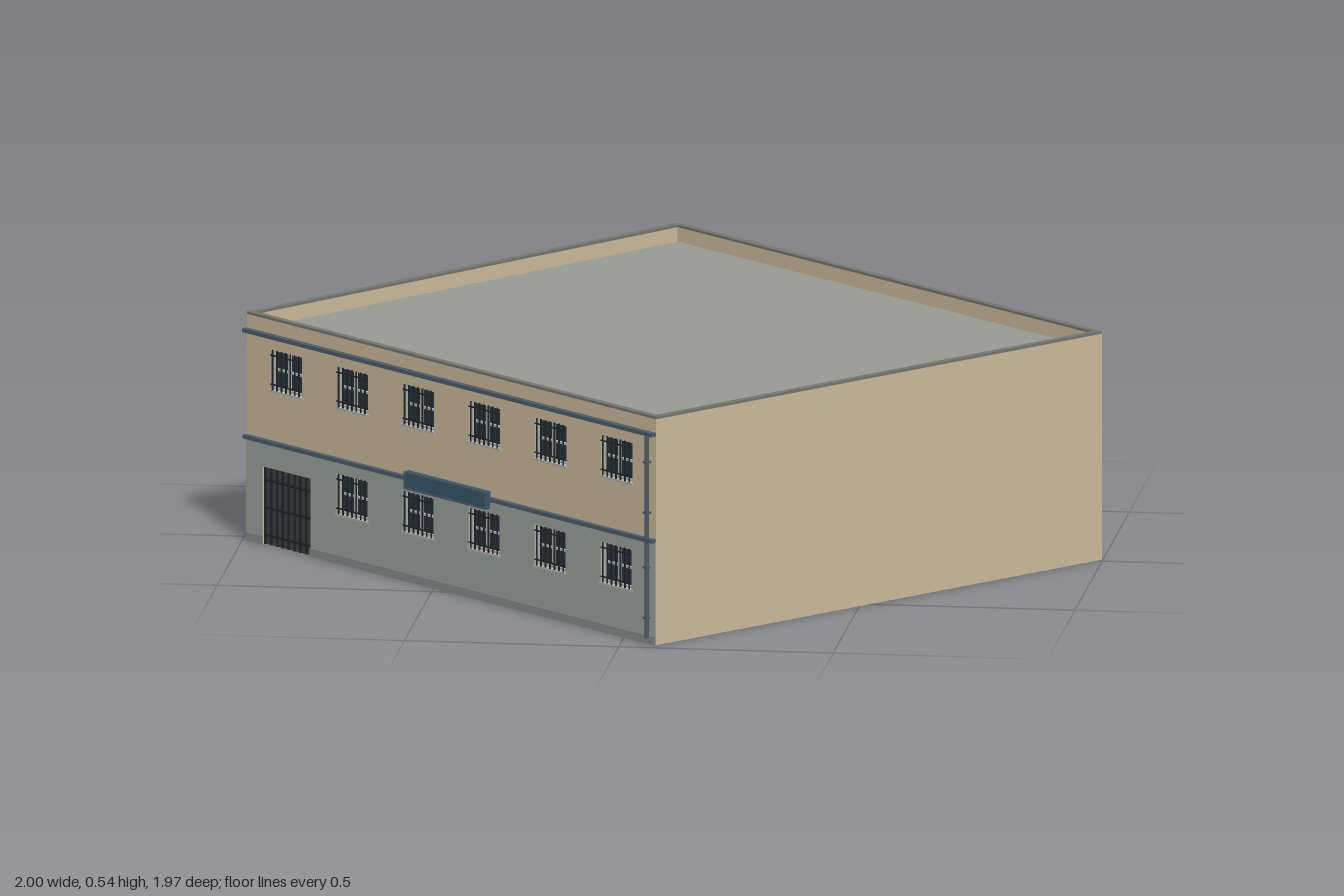
import * as THREE from 'three';

const L = 1.426, H = 0.543, T = 0.016;           // facade length, total height, wall thickness
const mat = (color) => new THREE.MeshStandardMaterial({ color, flatShading: true });
const M = {
  wall: mat(0xcbb99b), lower: mat(0x9aa19b), roof: mat(0x989b93), coping: mat(0x74756f),
  trim: mat(0x4b5b66), glass: mat(0x24343e), frame: mat(0xa9b0ae), bar: mat(0x202326),
  door: mat(0x3b4044), plinth: mat(0x858a88), sign: mat(0x35566a),
};

// Window and door openings on the facade: x0, y0, width, height
const WIN_W = 0.108, WIN_H = 0.096;
const windows = [];
for (let i = 0; i < 6; i++) {
  const x = 0.139 + i * 0.2302 - WIN_W / 2;
  windows.push([x, 0.372, WIN_W, WIN_H]);
  if (i > 0) windows.push([x, 0.118, WIN_W, WIN_H]);
}
const DOOR = [0.057, 0, 0.167, 0.185];

function poly(points, Type = THREE.Shape) {
  return new Type(points.map(([x, y]) => new THREE.Vector2(x, y)));
}

// Facade sheet with its openings cut out; the door is a notch in the lower edge
function facade(height, depth) {
  const [dx, , dw, dh] = DOOR;
  const s = poly([[0, 0], [dx, 0], [dx, dh], [dx + dw, dh], [dx + dw, 0], [L, 0], [L, height], [0, height]]);
  for (const [x, y, w, h] of windows) {
    if (y + h < height) s.holes.push(poly([[x, y], [x, y + h], [x + w, y + h], [x + w, y]], THREE.Path));
  }
  return new THREE.ExtrudeGeometry(s, { depth, bevelEnabled: false });
}

// Plan shape (x, depth behind the facade) raised from y0 to y1
function rise(shape, y0, y1) {
  const g = new THREE.ExtrudeGeometry(shape, { depth: y1 - y0, bevelEnabled: false });
  return g.rotateX(-Math.PI / 2).translate(0, y0, 0);
}

function add(parent, name, geometry, material) {
  const m = new THREE.Mesh(geometry, material);
  m.name = name;
  parent.add(m);
  return m;
}

// Box given by its x, y and z ranges
function box(parent, name, material, x0, x1, y0, y1, z0, z1) {
  const g = new THREE.BoxGeometry(x1 - x0, y1 - y0, z1 - z0);
  g.translate((x0 + x1) / 2, (y0 + y1) / 2, (z0 + z1) / 2);
  return add(parent, name, g, material);
}

function makeWindow([x, y, w, h]) {
  const g = new THREE.Group();
  g.name = 'window';
  const f = 0.005;
  box(g, 'glass', M.glass, x, x + w, y, y + h, -T - 0.004, -T + 0.002);
  // Frame with a central cross
  for (const fx of [x, x + w / 2 - f / 2, x + w - f]) box(g, 'frameUpright', M.frame, fx, fx + f, y, y + h, -T, -0.006);
  for (const fy of [y, y + h / 2 - f / 2, y + h - f]) box(g, 'frameRail', M.frame, x, x + w, fy, fy + f, -T, -0.007);
  box(g, 'sill', M.frame, x - 0.004, x + w + 0.004, y - 0.005, y, -T, 0.005);
  // Security bars
  for (let i = 0; i < 7; i++) {
    const bx = x + (w * (i + 0.5)) / 7;
    box(g, 'bar', M.bar, bx - 0.0015, bx + 0.0015, y, y + h, 0.001, 0.004);
  }
  for (const by of [y + 0.012, y + h - 0.015]) box(g, 'barRail', M.bar, x, x + w, by, by + 0.003, 0, 0.003);
  return g;
}

function makeDoor() {
  const g = new THREE.Group();
  g.name = 'door';
  const [x, , w, h] = DOOR;
  box(g, 'doorPanel', M.door, x, x + w, 0, h, -T - 0.003, -0.008);
  for (let i = 0; i < 9; i++) {
    const bx = x + (w - 0.004) * (i / 8);
    box(g, 'doorBar', M.bar, bx, bx + 0.004, 0, h, -0.008, -0.003);
  }
  for (const by of [0.02, 0.085, 0.15]) box(g, 'doorRail', M.bar, x, x + w, by, by + 0.005, -0.008, -0.002);
  return g;
}

export function createModel() {
  const model = new THREE.Group();
  model.name = 'building';

  // The block stands turned on its plot, from its left-hand street corner
  const b = new THREE.Group();
  b.name = 'block';
  b.position.set(-0.99, 0, 0.035);
  b.rotation.y = -0.719;
  model.add(b);

  // Slightly splayed footprint
  const outer = [[0, 0], [L, 0], [1.463, 1.347], [-0.01, 1.343]];
  const inner = [[T, T], [L - T, T], [1.447, 1.331], [0.006, 1.327]];
  const C = H - 0.006;

  // Walls
  add(b, 'frontWall', facade(C, T), M.wall).position.z = -T;
  add(b, 'lowerFacing', facade(0.246, 0.002), M.lower);
  const sides = poly([[0, T], [T, T], inner[3], inner[2], [L - T, T], [L, T], outer[2], outer[3]]);
  add(b, 'sideAndBackWalls', rise(sides, 0, C), M.wall);

  // Flat roof behind the parapet, with a coping on top
  add(b, 'roof', rise(poly(inner), 0.498, 0.503), M.roof);
  const ring = poly(outer);
  ring.holes.push(poly(inner, THREE.Path));
  add(b, 'coping', rise(ring, C, H), M.coping);

  // Facade details
  for (const w of windows) b.add(makeWindow(w));
  b.add(makeDoor());
  box(b, 'plinth', M.plinth, 0, DOOR[0], 0, 0.02, 0, 0.004);
  box(b, 'plinth', M.plinth, DOOR[0] + DOOR[2], L, 0, 0.02, 0, 0.004);
  box(b, 'cornice', M.trim, 0, L, 0.496, 0.505, 0, 0.015);
  box(b, 'storeyBand', M.trim, 0, L, 0.243, 0.252, 0, 0.013);

  // Blank signboard with a raised border
  box(b, 'signboard', M.sign, 0.565, 0.85, 0.223, 0.265, 0, 0.014);
  for (const y of [0.223, 0.261]) box(b, 'signBorder', M.trim, 0.565, 0.85, y, y + 0.004, 0.013, 0.016);
  for (const x of [0.565, 0.846]) box(b, 'signBorder', M.trim, x, x + 0.004, 0.223, 0.265, 0.013, 0.016);

  // Downpipe and its brackets
  const pipe = new THREE.CylinderGeometry(0.005, 0.005, 0.485, 8).translate(1.403, 0.2575, 0.008);
  add(b, 'downpipe', pipe, M.trim);
  for (const y of [0.06, 0.18, 0.31, 0.43]) box(b, 'pipeBracket', M.trim, 1.396, 1.41, y, y + 0.005, 0, 0.014);

  return model;
}
